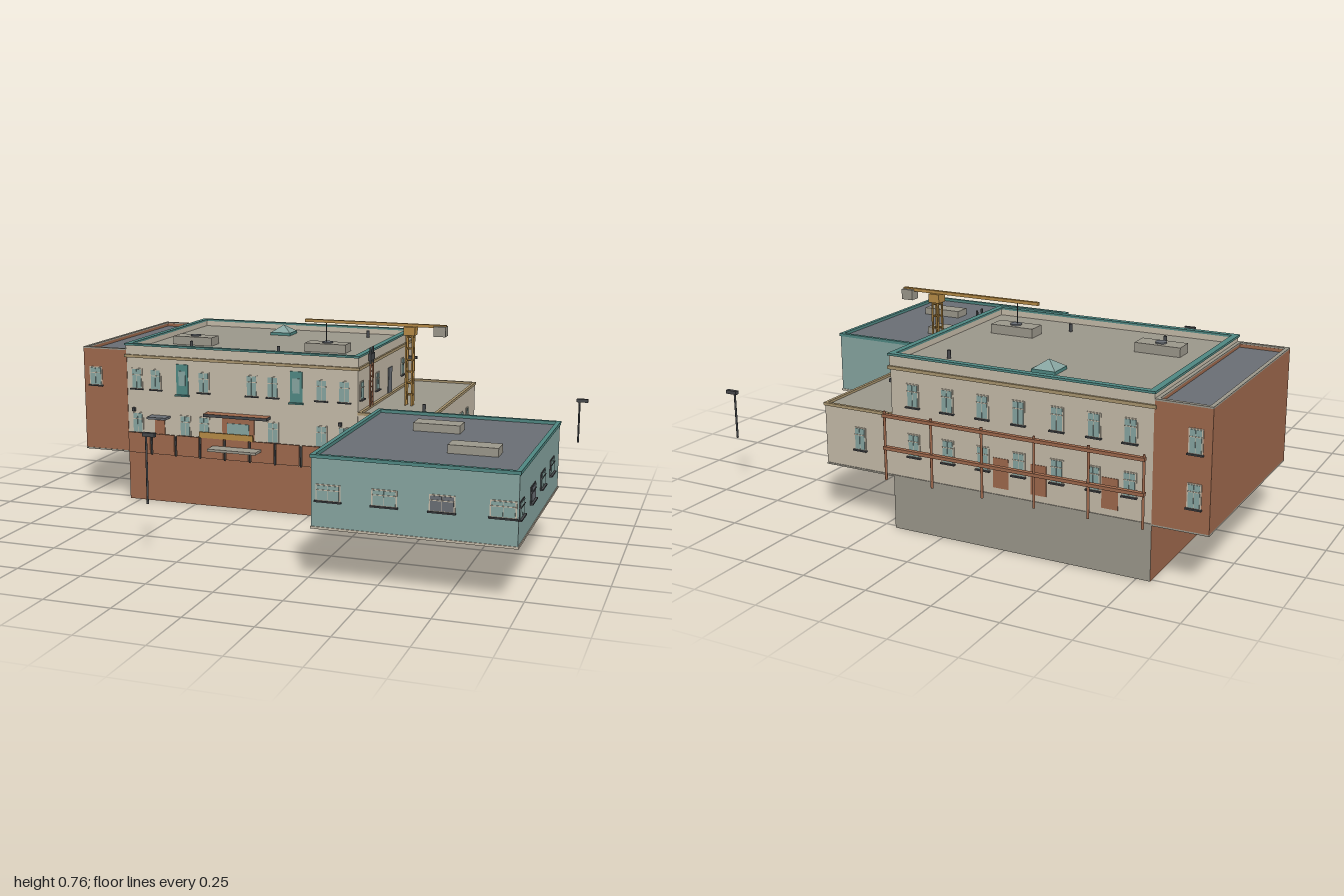
import * as THREE from 'three';

const mat = (name, color) => Object.assign(new THREE.MeshStandardMaterial({ color }), { name });

export function createModel() {
  const cream = mat('cream plaster', 0xc4baa8), brick = mat('brick', 0x9d684c);
  const stone = mat('grey stone', 0x9b978b), slate = mat('slate', 0x696e74);
  const paleTeal = mat('pale teal', 0x86a4a0), teal = mat('teal trim', 0x4f8782);
  const ochre = mat('ochre', 0xb58a45), dark = mat('dark metal', 0x45474a);
  const tan = mat('tan moulding', 0xa8946e);
  const root = new THREE.Group();
  root.name = 'building';

  const add = (parent, name, geo, m, x, y, z) => {
    const mesh = new THREE.Mesh(geo, m);
    mesh.name = name;
    mesh.position.set(x, y, z);
    parent.add(mesh);
    return mesh;
  };
  // box given by its min and max corners
  const span = (name, m, x0, x1, y0, y1, z0, z1, parent = root) =>
    add(parent, name, new THREE.BoxGeometry(x1 - x0, y1 - y0, z1 - z0), m, (x0 + x1) / 2, (y0 + y1) / 2, (z0 + z1) / 2);
  // rectangular frame of four bars around a plan, t wide
  const ring = (name, m, x0, x1, y0, y1, z0, z1, t) => {
    const s = new THREE.Shape([[x0, -z0], [x0, -z1], [x1, -z1], [x1, -z0]].map(p => new THREE.Vector2(...p)));
    s.holes.push(new THREE.Path([[x0 + t, -z0 - t], [x1 - t, -z0 - t], [x1 - t, -z1 + t], [x0 + t, -z1 + t]].map(p => new THREE.Vector2(...p))));
    const g = new THREE.ExtrudeGeometry(s, { depth: y1 - y0, bevelEnabled: false });
    g.rotateX(-Math.PI / 2);
    return add(root, name, g, m, 0, y0, 0);
  };
  const rod = (name, m, x, y0, y1, z, r, parent = root) =>
    add(parent, name, new THREE.CylinderGeometry(r, r, y1 - y0, 8), m, x, (y0 + y1) / 2, z);
  // group whose local +z points out of the given wall
  const onWall = (name, side, wall, u, y) => {
    const g = new THREE.Group();
    g.name = name;
    g.rotation.y = { front: 0, right: Math.PI / 2, back: Math.PI, left: -Math.PI / 2 }[side];
    if (side === 'front' || side === 'back') g.position.set(u, y, wall);
    else g.position.set(wall, y, u);
    root.add(g);
    return g;
  };
  const plate = (g, name, m, w, h, x = 0, y = 0, d = 0.004) =>
    add(g, name, new THREE.BoxGeometry(w, h, d), m, x, y, d / 2);
  const windowAt = (side, wall, u, y, w = 0.042, h = 0.078, glass = paleTeal, frame = cream) => {
    const g = onWall('window', side, wall, u, y);
    plate(g, 'frame', frame, w + 0.008, h + 0.008, 0, 0, 0.003);
    for (const s of [-1, 1]) plate(g, 'pane', glass, w / 2 - 0.002, h, s * w / 4, 0, 0.005);
    plate(g, 'transom', frame, w, 0.003, 0, h * 0.2, 0.007);
    add(g, 'sill', new THREE.BoxGeometry(w + 0.014, 0.005, 0.012), dark, 0, -h / 2 - 0.005, 0.005);
  };

  // basement and floor slabs
  span('basement', [stone, brick, stone, stone, brick, stone], -0.8, 0.2, 0, 0.2, -0.765, 0.032);
  span('floorSlab', stone, -1, 0.49, 0.2, 0.206, -0.768, 0.032);
  span('annexSlab', stone, 0.285, 0.985, 0.2, 0.206, 0.025, 0.82);

  // main block
  span('mainWalls', [cream, cream, stone, cream, cream, cream], -0.8, 0.2, 0.206, 0.63, -0.765, 0.03);
  ring('mainParapet', cream, -0.802, 0.202, 0.615, 0.652, -0.768, 0.033, 0.018);
  ring('mainCoping', teal, -0.806, 0.206, 0.652, 0.66, -0.774, 0.039, 0.024);
  ring('mainCornice', tan, -0.808, 0.208, 0.602, 0.614, -0.773, 0.038, 0.02);

  // brick wing on the left
  span('leftWingWalls', [brick, brick, slate, brick, brick, brick], -1, -0.801, 0.206, 0.618, -0.768, 0.03);
  ring('leftWingParapet', brick, -1, -0.801, 0.618, 0.63, -0.768, 0.03, 0.014);
  ring('leftWingCoping', stone, -1, -0.801, 0.63, 0.636, -0.77, 0.032, 0.015);

  // low wing on the right
  span('rightWingWalls', [cream, cream, stone, cream, cream, cream], 0.2, 0.49, 0.206, 0.428, -0.765, 0.028);
  ring('rightWingCoping', tan, 0.2, 0.494, 0.426, 0.437, -0.769, 0.032, 0.012);

  // front annex
  span('annexWalls', [paleTeal, paleTeal, slate, paleTeal, paleTeal, paleTeal], 0.285, 0.985, 0.206, 0.445, 0.025, 0.82);
  ring('annexCoping', teal, 0.281, 0.989, 0.445, 0.457, 0.021, 0.824, 0.016);
  ring('annexPlinth', cream, 0.282, 0.988, 0.2, 0.208, 0.022, 0.823, 0.01);

  // front windows
  for (const x of [-0.755, -0.67, -0.455, -0.245, -0.155, 0.05, 0.145]) windowAt('front', 0.03, x, 0.515);
  for (const x of [-0.755, -0.54, -0.455, -0.155, 0.05, 0.145]) windowAt('front', 0.03, x, 0.33);
  for (const x of [-0.55, -0.055]) {
    const g = onWall('tallWindow', 'front', 0.03, x, 0.522);
    plate(g, 'panel', teal, 0.052, 0.125);
    plate(g, 'pane', paleTeal, 0.03, 0.06, 0, 0.005, 0.007);
    add(g, 'sill', new THREE.BoxGeometry(0.06, 0.006, 0.014), teal, 0, -0.066, 0.006);
  }
  windowAt('front', 0.03, -0.945, 0.515, 0.05, 0.07);

  // back windows and worn plaster patches
  for (const x of [-0.72, -0.59, -0.455, -0.31, -0.17, -0.03, 0.11])
    for (const y of [0.33, 0.515]) windowAt('back', -0.765, x, y);
  for (const x of [-0.65, -0.385, -0.24])
    plate(onWall('exposedBrick', 'back', -0.765, x, 0.285), 'patch', brick, 0.06, 0.11, 0, 0, 0.002);
  for (const y of [0.33, 0.515]) windowAt('back', -0.768, -0.945, y);
  windowAt('back', -0.765, 0.34, 0.32);

  // right-hand windows and doors
  for (const z of [-0.015, -0.23, -0.61]) windowAt('right', 0.2, z, 0.517, 0.036, 0.066);
  for (const z of [-0.115, -0.51, -0.61]) windowAt('right', 0.49, z, 0.312, 0.036, 0.076);
  plate(onWall('roofDoor', 'right', 0.2, -0.415, 0.49), 'door', slate, 0.052, 0.108);
  const gate = onWall('loadingDoor', 'right', 0.49, -0.267, 0.282);
  plate(gate, 'door', slate, 0.125, 0.15);
  plate(gate, 'pane', paleTeal, 0.082, 0.048, 0, 0.035, 0.007);

  // annex windows
  [0.345, 0.54, 0.735, 0.935].forEach((x, i) => windowAt('front', 0.82, x, 0.328, 0.08, 0.05, i === 2 ? slate : paleTeal));
  [0.78, 0.575, 0.38, 0.185].forEach((z, i) => windowAt('right', 0.985, z, 0.325, 0.076, 0.05, i === 1 ? slate : paleTeal, dark));
  for (const z of [0.2, 0.67]) windowAt('left', 0.285, z, 0.325, 0.076, 0.05);

  // entrance, side door and canopies
  const entry = onWall('entrance', 'front', 0.03, -0.305, 0.32);
  plate(entry, 'surround', brick, 0.14, 0.11);
  plate(entry, 'glass', paleTeal, 0.095, 0.07, 0, 0.0, 0.007);
  span('entranceCanopy', [dark, dark, brick, dark, dark, dark], -0.44, -0.165, 0.384, 0.396, 0.03, 0.077);
  span('entranceStep', stone, -0.41, -0.2, 0.25, 0.26, 0.03, 0.112);
  span('entranceBarrier', ochre, -0.47, -0.235, 0.29, 0.314, 0.045, 0.052);
  plate(onWall('sideDoor', 'front', 0.03, -0.655, 0.315), 'door', brick, 0.045, 0.06);
  span('sideCanopy', slate, -0.692, -0.608, 0.357, 0.366, 0.03, 0.08);

  // front fence panels
  for (let i = 0; i < 9; i++) {
    const x = -0.792 + i * 0.1095;
    span('fencePanel', brick, x, x + 0.098, 0.205, 0.29, 0.044, 0.05);
    span('fencePost', dark, x + 0.1, x + 0.105, 0.2, 0.285, 0.042, 0.048);
  }

  // roof units, skylight and vents
  for (const x of [-0.6, -0.01]) {
    span('roofUnit', stone, x - 0.088, x + 0.088, 0.63, 0.665, -0.26, -0.185);
    rod('roofFan', slate, x, 0.665, 0.67, -0.222, 0.023);
  }
  span('annexRoofUnit', stone, 0.498, 0.672, 0.445, 0.475, 0.235, 0.31);
  span('annexRoofUnit', stone, 0.698, 0.873, 0.445, 0.475, 0.535, 0.61);
  const sky = new THREE.ConeGeometry(0.062, 0.03, 4).rotateY(Math.PI / 4).toNonIndexed();
  sky.computeVertexNormals();
  add(root, 'skylight', sky, paleTeal, -0.35, 0.657, -0.617);
  span('skylightBase', teal, -0.396, -0.304, 0.63, 0.642, -0.663, -0.571);
  for (const [x, z, y] of [[0.035, -0.64, 0.63], [-0.57, -0.11, 0.63], [-0.18, -0.1, 0.63], [0.43, -0.11, 0.428]])
    rod('roofVent', dark, x, y, y + 0.03, z, 0.007);

  // tower crane
  const crane = new THREE.Group();
  crane.name = 'crane';
  root.add(crane);
  for (const x of [0.327, 0.353]) for (const z of [-0.206, -0.234])
    span('mastLeg', ochre, x - 0.003, x + 0.003, 0.428, 0.72, z - 0.003, z + 0.003, crane);
  for (let i = 0; i < 6; i++) {
    const y = 0.47 + i * 0.047;
    for (const z of [-0.206, -0.234]) span('mastBrace', ochre, 0.327, 0.353, y, y + 0.004, z - 0.002, z + 0.002, crane);
    for (const x of [0.327, 0.353]) span('mastBrace', ochre, x - 0.002, x + 0.002, y, y + 0.004, -0.234, -0.206, crane);
  }
  span('cab', ochre, 0.318, 0.364, 0.715, 0.749, -0.243, -0.197, crane);
  span('jib', ochre, -0.105, 0.488, 0.748, 0.76, -0.228, -0.213, crane);
  span('counterweight', stone, 0.44, 0.488, 0.715, 0.755, -0.242, -0.199, crane);
  rod('cable', dark, -0.015, 0.665, 0.75, -0.22, 0.002, crane);

  // wall ladder
  for (const z of [-0.097, -0.133]) {
    span('ladderRail', brick, 0.208, 0.214, 0.435, 0.61, z - 0.003, z + 0.003);
    span('ladderHandrail', dark, 0.208, 0.214, 0.61, 0.675, z - 0.003, z + 0.003);
  }
  for (let i = 0; i < 8; i++) span('ladderRung', brick, 0.209, 0.213, 0.45 + i * 0.021, 0.454 + i * 0.021, -0.133, -0.097);
  span('ladderCage', dark, 0.206, 0.216, 0.622, 0.65, -0.143, -0.09);

  // rear scaffold
  for (const x of [-0.795, -0.6, -0.4, -0.2, 0, 0.19]) rod('scaffoldPost', brick, x, 0.21, 0.465, -0.828, 0.005);
  for (const y of [0.33, 0.45]) span('scaffoldRail', brick, -0.8, 0.195, y - 0.006, y + 0.006, -0.837, -0.82);

  // street lamps
  for (const [x, z, top] of [[-0.35, 0.767, 0.47], [0.955, -0.715, 0.4]]) {
    rod('lampPost', dark, x, 0.212, top, z, 0.004);
    span('lampHead', dark, x - 0.012, x + 0.036, top - 0.012, top + 0.002, z - 0.008, z + 0.008);
  }

  // small wall lamps
  span('wallLamp', dark, 0.2, 0.24, 0.535, 0.547, -0.718, -0.702);
  span('wallLamp', dark, 0.2, 0.22, 0.158, 0.17, -0.42, -0.405);
  for (const x of [-0.77, 0.13]) span('wallLamp', dark, x - 0.006, x + 0.006, 0.378, 0.392, 0.03, 0.045);

  return root;
}
